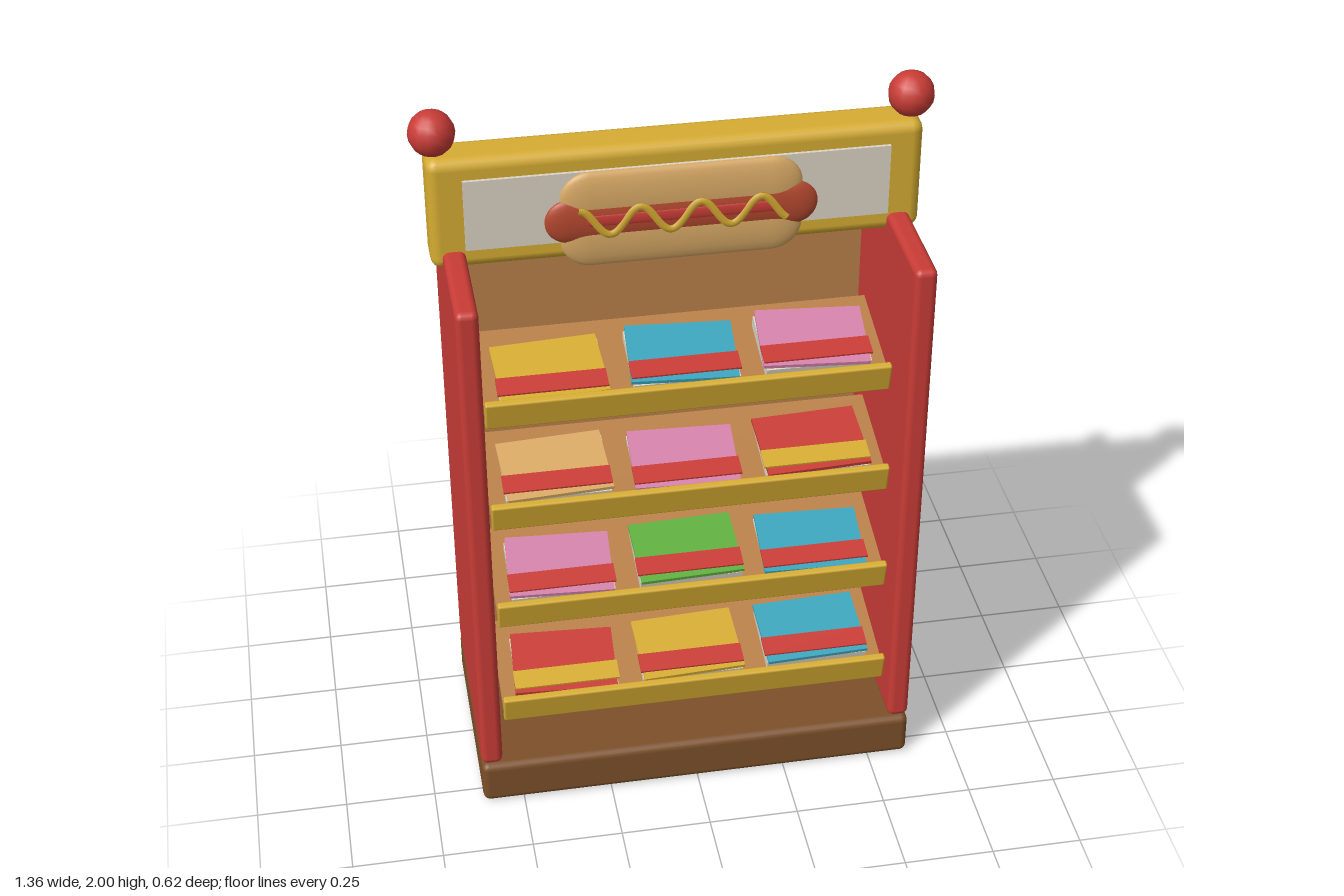
import * as THREE from 'three';
import { RoundedBoxGeometry } from 'three/addons/geometries/RoundedBoxGeometry.js';

function material(name, color) {
  const m = new THREE.MeshStandardMaterial({ color });
  m.name = name;
  return m;
}

export function createModel() {
  const red = material('red', 0xc93c36);
  const yellow = material('yellow', 0xd6ac32);
  const wood = material('wood', 0xb98049);
  const darkWood = material('dark wood', 0x7c5029);
  const blue = material('blue', 0x3ca5bc);
  const pink = material('pink', 0xd482aa);
  const green = material('green', 0x5fb040);
  const white = material('off white', 0xdcd4c4);
  const sausageBrown = material('sausage brown', 0xb5492f);
  const tan = material('tan', 0xd9aa66);

  const model = new THREE.Group();
  model.name = 'displayStand';

  function add(parent, name, geometry, mat, x = 0, y = 0, z = 0) {
    const mesh = new THREE.Mesh(geometry, mat);
    mesh.name = name;
    mesh.position.set(x, y, z);
    parent.add(mesh);
    return mesh;
  }
  const box = (w, h, d) => new THREE.BoxGeometry(w, h, d);
  const rounded = (w, h, d, r) => new RoundedBoxGeometry(w, h, d, 2, r);

  // Cabinet
  add(model, 'base', rounded(1.23, 0.13, 0.62, 0.02), darkWood, 0, 0.065, 0);
  add(model, 'backPanel', rounded(1.13, 1.43, 0.055, 0.012), wood, 0, 0.845, -0.28);
  for (const [side, s] of [['left', 1], ['right', -1]]) {
    add(model, side + 'Panel', rounded(0.06, 1.49, 0.61, 0.018), red, s * 0.585, 0.88, 0);
    add(model, side + 'Finial', new THREE.SphereGeometry(0.061, 14, 10), red, s * 0.62, 1.939, -0.065);
  }

  // Sign
  add(model, 'signBoard', rounded(1.29, 0.315, 0.125, 0.03), yellow, 0, 1.728, -0.065);
  add(model, 'signPlate', box(1.11, 0.2, 0.009), white, 0, 1.73, 0.002);

  // Flattened hot dog in front of the sign
  const hotDog = new THREE.Group();
  hotDog.name = 'hotDog';
  hotDog.position.set(0, 1.712, 0.04);
  model.add(hotDog);
  function pill(name, halfLength, r, halfDepth, mat, y, z) {
    const g = new THREE.CapsuleGeometry(r, 2 * (halfLength - r), 8, 20);
    g.rotateZ(Math.PI / 2).scale(1, 1, halfDepth / r);
    add(hotDog, name, g, mat, 0, y, z);
  }
  pill('upperBun', 0.315, 0.08, 0.02, tan, 0.057, 0);
  pill('lowerBun', 0.315, 0.08, 0.02, tan, -0.057, 0);
  pill('sausage', 0.355, 0.062, 0.019, sausageBrown, 0, 0.004);
  pill('ketchup', 0.25, 0.016, 0.004, red, 0.004, 0.021);
  const wave = [];
  for (let i = 0; i <= 42; i++) {
    const x = -0.27 + (0.54 * i) / 42;
    wave.push(new THREE.Vector3(x, 0.037 * Math.cos((2 * Math.PI * (x + 0.11)) / 0.157), 0));
  }
  const mustard = new THREE.TubeGeometry(new THREE.CatmullRomCurve3(wave), 84, 0.011, 6);
  mustard.scale(1, 1, 0.45);
  add(hotDog, 'mustard', mustard, yellow, 0, 0, 0.023);

  // Sloping shelves, each with a front lip and three booklets:
  // [cover colour, stack height, turn]
  const rows = [
    [[yellow, 0.018, 0.05], [blue, 0.035, -0.06], [pink, 0.045, -0.07]],
    [[tan, 0.037, 0.05], [pink, 0.02, -0.04], [red, 0.032, 0.04]],
    [[pink, 0.033, -0.05], [green, 0.045, 0.03], [blue, 0.02, -0.04]],
    [[red, 0.018, -0.05], [yellow, 0.03, 0.04], [blue, 0.042, 0.03]],
  ];
  rows.forEach((books, row) => {
    const shelf = new THREE.Group();
    shelf.name = 'shelf' + (row + 1);
    shelf.position.set(0, 1.243 - row * 0.308, 0.011 + row * 0.033);
    shelf.rotation.x = 0.22;
    model.add(shelf);
    add(shelf, 'shelfBoard', box(1.085, 0.02, 0.32), wood);
    add(shelf, 'shelfLip', rounded(1.085, 0.088, 0.022, 0.006), yellow, 0, 0.016, 0.155);
    books.forEach(([cover, height, turn], column) => {
      const booklet = new THREE.Group();
      booklet.name = 'booklet' + (column + 1);
      booklet.position.set((column - 1) * 0.355, 0.01, 0.018);
      shelf.add(booklet);
      const pages = height - 0.01;
      add(booklet, 'pages', box(0.285, pages, 0.205), white, 0, pages / 2, 0);
      add(booklet, 'cover', box(0.288, 0.01, 0.21), cover, 0, pages + 0.005, 0).rotation.y = turn;
      add(booklet, 'coverBand', box(0.295, 0.006, 0.062), cover === red ? yellow : red,
        0, height + 0.002, 0.055);
    });
  });

  return model;
}
